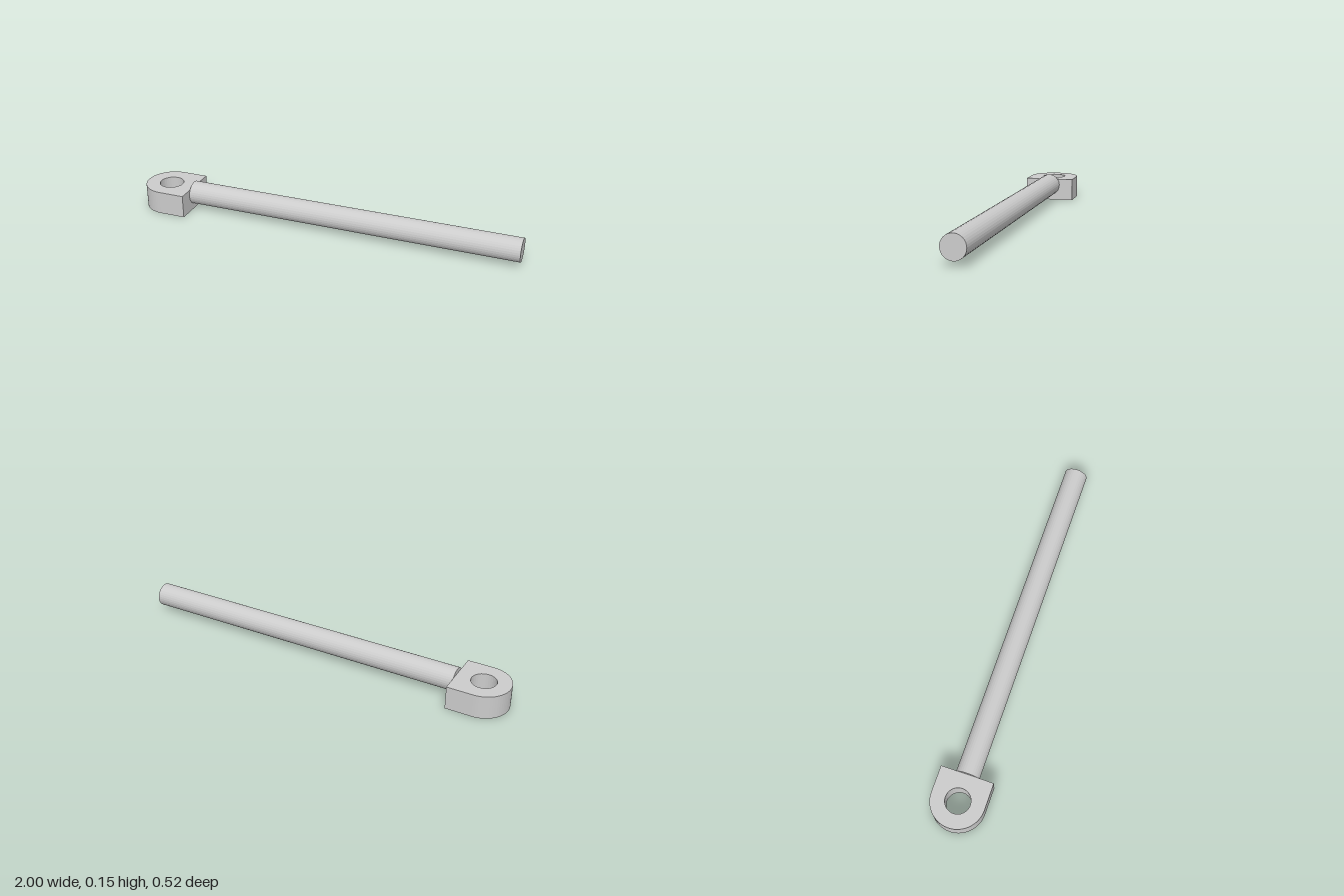
import * as THREE from 'three';

export function createModel() {
  const R = 0.135, holeR = 0.063, height = 0.121;
  const rodR = 0.06, rodEnd = 1.883, rodY = 0.087;
  const material = new THREE.MeshStandardMaterial({ color: 0xcccccc, flatShading: true });

  // Everything is built along +x with the eye at the origin, then turned
  const bolt = new THREE.Group();
  bolt.name = 'eyeBolt';
  bolt.position.set(-0.865, 0, -0.125);
  bolt.rotation.y = -THREE.MathUtils.degToRad(10);

  // Eye: half-round plate with a square end and a through hole
  const outline = new THREE.Shape();
  outline.moveTo(R, -R);
  outline.lineTo(R, R);
  outline.lineTo(0, R);
  outline.absarc(0, 0, R, Math.PI / 2, Math.PI * 1.5, false);
  outline.closePath();
  const hole = new THREE.Path();
  hole.absarc(0, 0, holeR, 0, Math.PI * 2, true);
  outline.holes.push(hole);
  const eyeGeometry = new THREE.ExtrudeGeometry(outline, {
    depth: height, bevelEnabled: false, curveSegments: 16,
  });
  eyeGeometry.rotateX(-Math.PI / 2);
  const eye = new THREE.Mesh(eyeGeometry, material);
  eye.name = 'eye';
  bolt.add(eye);

  // Rod: starts on the square end, slightly above the plate's mid-height
  const length = rodEnd - R;
  const rodGeometry = new THREE.CylinderGeometry(rodR, rodR, length, 32);
  rodGeometry.rotateZ(-Math.PI / 2);
  const rod = new THREE.Mesh(rodGeometry, material);
  rod.name = 'rod';
  rod.position.set(R + length / 2, rodY, 0);
  bolt.add(rod);

  const model = new THREE.Group();
  model.name = 'model';
  model.add(bolt);
  return model;
}
